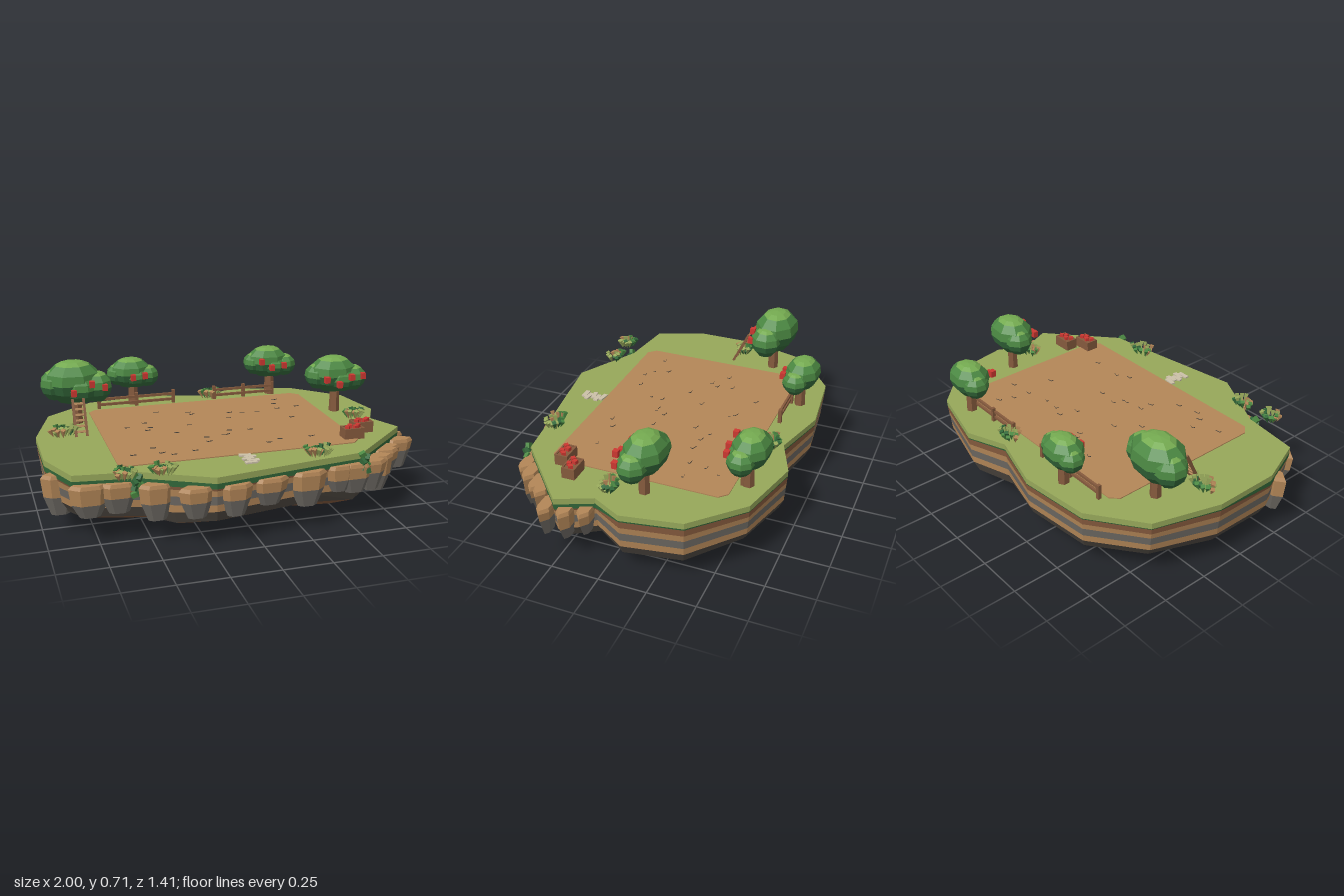
import * as THREE from 'three';

const mat = (name, color) => new THREE.MeshStandardMaterial({ name, color, flatShading: true });
const M = {
  grass: mat('grass green', 0x96a75a), leafLight: mat('light leaf', 0x74aa50),
  leafMid: mat('mid leaf', 0x4b8842), leafDark: mat('dark leaf', 0x33683a),
  wood: mat('brown wood', 0x855a3d), soil: mat('tan soil', 0xb38657),
  rock: mat('grey rock', 0x6b6761), dark: mat('dark rock', 0x4e4841),
  red: mat('apple red', 0xcc3831), pale: mat('pale stone', 0xcbc0a8),
};
const GROUND = 0.358;

let seed = 7;
const rnd = (a = 0, b = 1) => {
  seed = (seed * 16807) % 2147483647;
  return a + (b - a) * (seed / 2147483647);
};

function add(parent, name, geo, material, x = 0, y = 0, z = 0) {
  const m = new THREE.Mesh(geo, material);
  m.name = name;
  m.position.set(x, y, z);
  parent.add(m);
  return m;
}
const box = (p, name, w, h, d, material, x, y, z) =>
  add(p, name, new THREE.BoxGeometry(w, h, d), material, x, y, z);
function group(parent, name, x = 0, y = 0, z = 0) {
  const g = new THREE.Group();
  g.name = name;
  g.position.set(x, y, z);
  parent.add(g);
  return g;
}

// Island outline as [x, z]
const OUTLINE = [[-0.6, -0.67], [-0.22, -0.71], [0.085, -0.625], [0.295, -0.71], [0.64, -0.625],
  [0.88, -0.39], [0.935, -0.085], [0.855, 0.07], [0.935, 0.25], [0.58, 0.57], [0.29, 0.61],
  [-0.22, 0.69], [-0.41, 0.59], [-0.56, 0.51], [-0.87, 0.47], [-0.97, 0.22], [-0.97, -0.13], [-0.865, -0.475]];

// Strata: upper edge height, scale, waviness, colour of the band below, extra drop along the front
const STRATA = [
  [GROUND, 1, 0, 'grass', 0], [0.326, 1, 0, 'leafDark', 0], [0.319, 0.998, 0.002, 'wood', 0.022],
  [0.285, 0.995, 0.006, 'soil', 0], [0.252, 0.99, 0.01, 'rock', 0], [0.208, 0.985, 0.012, 'soil', 0],
  [0.17, 0.98, 0.014, 'dark', 0], [0.112, 0.945, 0.02, 'wood', 0], [0.062, 0.79, 0.018, 'dark', 0],
  [0.016, 0.55, 0.016, 'dark', 0], [0.02, 0, 0, 'dark', 0],
];

function island(root) {
  const g = group(root, 'island');
  const shape = new THREE.Shape(OUTLINE.map(([x, z]) => new THREE.Vector2(x, -z)));
  add(g, 'grassTop', new THREE.ShapeGeometry(shape).rotateX(-Math.PI / 2), M.grass, 0, GROUND, 0);
  const rings = STRATA.map(([y, s, wave, , drop]) => OUTLINE.map(([x, z], i) =>
    [x * s, Math.max(0, y + wave * Math.sin(i * 1.9 + 0.6) - (z > 0 ? drop : 0)), z * s]));
  for (let k = 0; k < rings.length - 1; k++) {
    const pos = [], a = rings[k], b = rings[k + 1];
    a.forEach((p, i) => {
      const j = (i + 1) % a.length;
      pos.push(...p, ...a[j], ...b[i], ...a[j], ...b[j], ...b[i]);
    });
    const geo = new THREE.BufferGeometry();
    geo.setAttribute('position', new THREE.Float32BufferAttribute(pos, 3));
    geo.computeVertexNormals();
    add(g, 'stratum' + (k + 1), geo, M[STRATA[k][3]]);
  }
}

// Tapered boulders clinging to the front rim
function boulders(root) {
  const g = group(root, 'boulders');
  [[-0.91, 0.3, 0.09], [-0.79, 0.48, 0.1], [-0.65, 0.49, 0.1], [-0.48, 0.56, 0.09],
    [-0.31, 0.66, 0.09], [-0.12, 0.67, 0.085], [0.06, 0.635, 0.1], [0.27, 0.61, 0.1], [0.45, 0.585, 0.08],
    [0.54, 0.575, 0.1], [0.63, 0.56, 0.09], [0.69, 0.505, 0.09], [0.76, 0.43, 0.09], [0.79, 0.385, 0.09],
    [0.91, 0.3, 0.09], [0.9, 0.2, 0.09], [0.87, 0.11, 0.085]].forEach(([x, z, r]) => {
    const base = rnd(0.195, 0.25), h = 0.292 - base, foot = rnd(0.06, 0.1), turn = Math.PI / 6;
    const b = group(g, 'boulder', x, base, z);
    b.scale.z = 0.45;
    add(b, 'boulderTop', new THREE.CylinderGeometry(r * 0.85, r, 0.018, 6, 1).rotateY(turn), M.soil, 0, h + 0.009, 0);
    add(b, 'boulderBody', new THREE.CylinderGeometry(r, r * 0.88, h, 6, 1).rotateY(turn), M.soil, 0, h / 2, 0);
    add(b, 'boulderFoot', new THREE.CylinderGeometry(r * 0.88, r * 0.5, foot, 6, 1).rotateY(turn), M.rock, 0, -foot / 2, 0);
  });
}

// Low-poly leaf lump: flat-topped profile in three bands of green
const LEAF_BANDS = [
  ['leafDark', [[0, -1], [0.5, -0.97], [0.87, -0.5], [1, -0.05]]],
  ['leafMid', [[1, -0.05], [0.93, 0.42], [0.62, 0.8]]],
  ['leafLight', [[0.62, 0.8], [0.38, 0.95], [0, 1]]],
];
function lump(parent, x, y, z, rx, ry, rz) {
  const g = group(parent, 'leafLump', x, y, z);
  g.scale.set(rx, ry, rz);
  LEAF_BANDS.forEach(([c, pts]) => add(g, 'leafBand',
    new THREE.LatheGeometry(pts.map(p => new THREE.Vector2(...p)), 8, 0.3), M[c]));
}

function tree(root, x, z, halfWidth, bottom, top, apples) {
  const g = group(root, 'appleTree', x, 0, z);
  const w = halfWidth, cy = (top + bottom) / 2, h = (top - bottom) / 2;
  add(g, 'trunk', new THREE.CylinderGeometry(0.024, 0.03, cy - GROUND, 6), M.wood, 0, (cy + GROUND) / 2, 0);
  lump(g, -w * 0.08, cy + h * 0.06, -w * 0.03, w * 0.8, h * 0.94, w * 0.62);
  lump(g, w * 0.55, cy - h * 0.18, w * 0.1, w * 0.45, h * 0.66, w * 0.45);
  lump(g, -w * 0.54, cy - h * 0.06, -w * 0.1, w * 0.46, h * 0.66, w * 0.45);
  lump(g, w * 0.1, cy - h * 0.2, w * 0.26, w * 0.48, h * 0.6, w * 0.38);
  apples.forEach(([ax, ay, az]) => box(g, 'apple', 0.028, 0.034, 0.028, M.red, ax - x, ay, az - z));
}

function fence(root, x0, x1) {
  const g = group(root, 'fence', 0, 0, -0.54);
  const mid = (x0 + x1) / 2;
  [x0, mid, x1].forEach(x => box(g, 'fencePost', 0.018, 0.08, 0.018, M.wood, x, GROUND + 0.038, 0));
  [0.382, 0.414].forEach(y => box(g, 'fenceRail', x1 - x0, 0.014, 0.012, M.wood, mid, y, 0.006));
}

function ladder(root) {
  const g = group(root, 'ladder', -0.735, GROUND, -0.08);
  g.rotation.x = -0.45;
  [-1, 1].forEach(s => box(g, 'ladderRail', 0.013, 0.205, 0.013, M.wood, s * 0.029, 0.1, 0));
  for (let i = 0; i < 6; i++) box(g, 'ladderRung', 0.055, 0.012, 0.012, M.soil, 0, 0.025 + i * 0.03, 0);
}

function crate(root, x, z) {
  const g = group(root, 'appleCrate', x, GROUND, z);
  [-1, 1].forEach(s => {
    box(g, 'crateSide', 0.11, 0.058, 0.008, M.wood, 0, 0.03, s * 0.031);
    box(g, 'crateEnd', 0.008, 0.058, 0.07, M.wood, s * 0.051, 0.03, 0);
  });
  box(g, 'crateFill', 0.1, 0.05, 0.06, M.wood, 0, 0.028, 0);
  [[-0.033, 0.012], [-0.012, -0.008], [0.012, 0.012], [0.033, -0.006]].forEach(([a, b]) => {
    box(g, 'crateApple', 0.022, 0.022, 0.022, M.red, a, 0.06, b).rotation.y = a * 20;
  });
}

// Tuft of splayed leaf blades
function bush(root, x, z) {
  const g = group(root, 'bush', x, GROUND, z);
  const colours = [M.leafDark, M.grass, M.leafMid, M.grass, M.soil];
  for (let i = 0; i < 20; i++) {
    const h = rnd(0.04, 0.062), a = i * 2.4, r = rnd(0.01, 0.045);
    const geo = new THREE.ConeGeometry(0.015, h, 4).rotateX(Math.PI).translate(0, h / 2, 0);
    const m = add(g, 'blade', geo, colours[i % 5], Math.cos(a) * r * 1.2, -0.002, Math.sin(a) * r * 0.7);
    m.rotation.set(Math.sin(a) * 0.35, 0, -Math.cos(a) * 0.4);
  }
}

// Leaves trailing over the rim
function vine(root, x, z) {
  const g = group(root, 'vine', x, 0, z);
  for (let i = 0; i < 7; i++) {
    const m = box(g, 'vineLeaf', 0.032, 0.026, 0.022, i % 3 ? M.leafDark : M.leafMid,
      (i % 2 ? 0.012 : -0.012), 0.355 - i * 0.017, 0.015 + (i % 3) * 0.006);
    m.rotation.set(0.2, i, 0.5);
  }
}

export function createModel() {
  const root = new THREE.Group();
  root.name = 'floatingOrchard';
  island(root);
  boulders(root);

  // Tilled plot with rounded corners
  const c = 0.04, x = 0.635, z0 = -0.505, z1 = 0.43;
  const plot = new THREE.Shape([[-x + c, -z1], [x - c, -z1], [x, -z1 + c], [x, -z0 - c],
    [x - c, -z0], [-x + c, -z0], [-x, -z0 - c], [-x, -z1 + c]].map(p => new THREE.Vector2(...p)));
  add(root, 'soilPlot', new THREE.ExtrudeGeometry(plot, { depth: 0.005, bevelEnabled: false })
    .rotateX(-Math.PI / 2), M.soil, 0, GROUND, 0);
  const clodSides = [M.dark, M.dark, M.soil, M.dark, M.dark, M.dark];
  for (let i = 0; i < 32; i++) {
    box(root, 'clod', 0.028, 0.007, 0.014, clodSides, rnd(-0.54, 0.54), GROUND + 0.006, rnd(-0.42, 0.36))
      .rotation.y = rnd(-0.4, 0.4);
  }

  // Stepping stones
  for (let i = 0; i < 5; i++) {
    box(root, 'steppingStone', 0.062, 0.008, 0.024, M.pale, i % 2 ? 0.012 : -0.005, GROUND + 0.004, 0.447 + i * 0.026)
      .rotation.y = (i % 3 - 1) * 0.15;
  }

  tree(root, -0.72, -0.32, 0.195, 0.465, 0.71, [[-0.75, 0.56, -0.2], [-0.65, 0.6, -0.21], [-0.58, 0.575, -0.22]]);
  tree(root, -0.355, -0.585, 0.15, 0.455, 0.635, [[-0.37, 0.54, -0.49], [-0.3, 0.545, -0.495]]);
  tree(root, 0.48, -0.565, 0.157, 0.46, 0.65, [[0.4, 0.58, -0.47], [0.46, 0.545, -0.455], [0.54, 0.55, -0.47]]);
  tree(root, 0.72, -0.125, 0.174, 0.468, 0.68, [[0.63, 0.57, -0.025], [0.695, 0.545, 0], [0.77, 0.58, -0.008], [0.85, 0.575, -0.04]]);

  fence(root, -0.565, -0.125);
  fence(root, 0.125, 0.49);
  ladder(root);
  crate(root, 0.71, 0.26);
  crate(root, 0.62, 0.345);
  [[-0.83, -0.11], [-0.64, 0.58], [-0.45, 0.57], [0.35, 0.55], [0.78, 0.04], [0.11, -0.57]]
    .forEach(([bx, bz]) => bush(root, bx, bz));
  vine(root, -0.57, 0.515);
  vine(root, 0.58, 0.575);
  return root;
}
